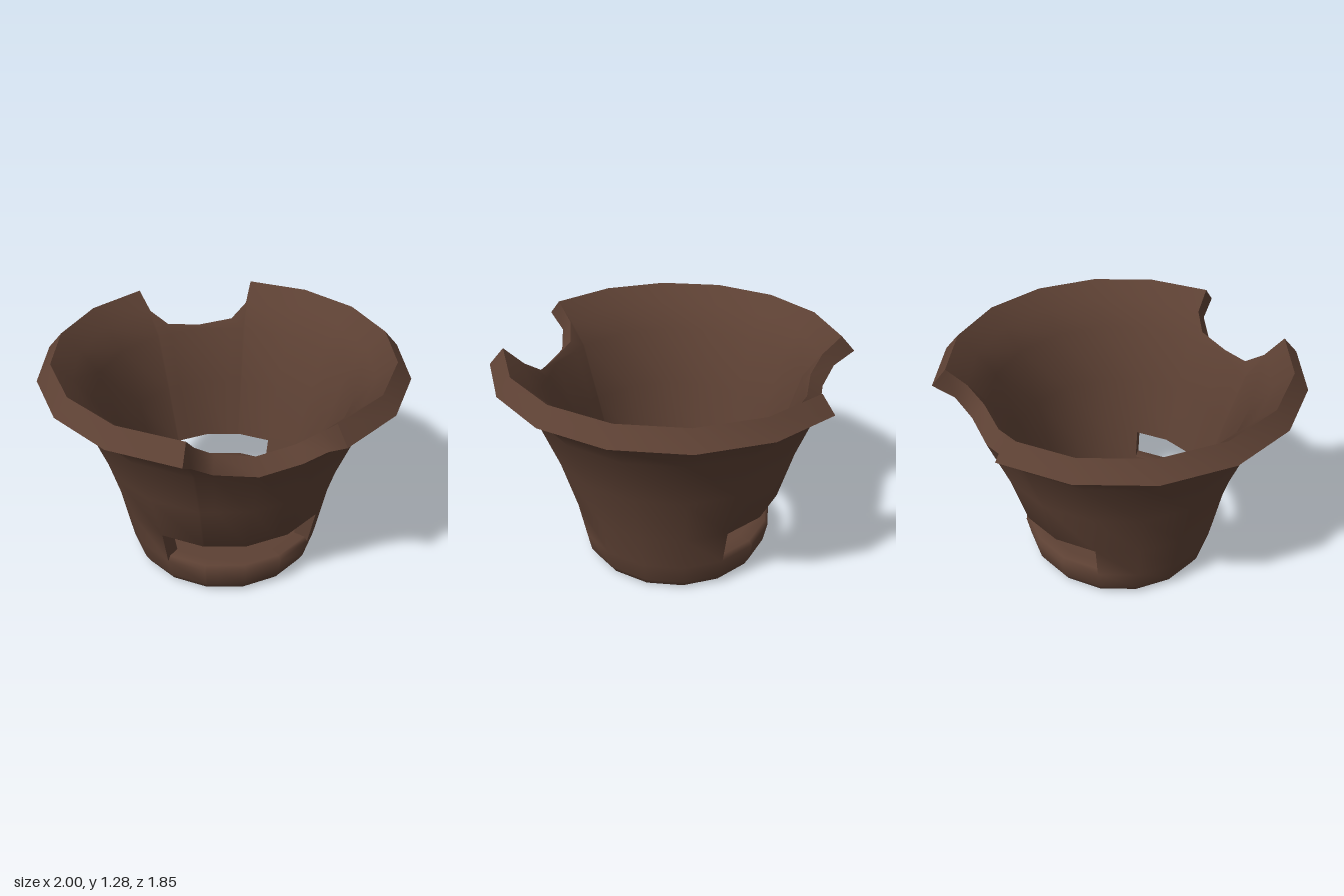
import * as THREE from 'three';
import { toCreasedNormals } from 'three/addons/utils/BufferGeometryUtils.js';

// Wall profiles as [radius, height]
const OUTER = [[0, 0], [0.46, 0], [0.53, 0.015], [0.555, 0.06], [0.578, 0.18], [0.618, 0.4],
  [0.7, 0.7], [0.81, 1.0], [0.9, 1.12], [1.0, 1.19]];
const INNER = [[0.92, 1.28], [0.82, 1.18], [0.72, 1.05], [0.62, 0.72], [0.525, 0.38],
  [0.49, 0.205], [0.47, 0.1], [0, 0.1]];
const SLOT_OUT = 4;                    // outer rows 4-5 bound the slot
const SLOT_IN = OUTER.length + 4;      // inner rows 4-5 bound the slot

// Rim notch: angle from its middle, outer and inner cut heights
const NOTCH = [[0, 1.0, 1.07], [15.6, 1.03, 1.1], [21.7, 1.11, 1.18]];

// Cut a profile off at a height, sliding the rows above it down onto the cut
function clip(profile, cut) {
  return profile.map(([r, y]) => {
    if (y <= cut) return [r, y];
    for (let i = 0; i < profile.length - 1; i++) {
      const [a, b] = [profile[i], profile[i + 1]];
      if (a[1] !== b[1] && (a[1] - cut) * (b[1] - cut) <= 0) {
        return [a[0] + (b[0] - a[0]) * (cut - a[1]) / (b[1] - a[1]), cut];
      }
    }
    return [r, y];
  });
}

// Place a profile point on the sixteen-sided plan
function place(deg, r, y) {
  const off = ((deg % 22.5) - 11.25) * Math.PI / 180;
  const R = r * Math.cos(Math.PI / 16) / Math.cos(off);
  const t = deg * Math.PI / 180;
  return new THREE.Vector3(R * Math.cos(t), y, R * Math.sin(t));
}

function bucketGeometry() {
  const pos = [];
  const tri = (a, b, c) => {
    if (a.distanceTo(b) < 1e-5 || b.distanceTo(c) < 1e-5 || a.distanceTo(c) < 1e-5) return;
    for (const p of [a, b, c]) pos.push(p.x, p.y, p.z);
  };
  const quad = (a, b, c, d) => { tri(a, b, c); tri(a, c, d); };

  // Columns: the sixteen corners plus the notch steps, front and back
  const angles = Array.from({ length: 16 }, (_, i) => i * 22.5);
  for (const mid of [90, 270]) {
    for (const [d] of NOTCH.slice(1)) angles.push(mid - d, mid + d);
  }
  angles.sort((a, b) => a - b);
  const fromMid = (deg) => Math.abs((deg % 180) - 90);

  const columns = angles.map((deg) => {
    const n = NOTCH.find(([d]) => Math.abs(fromMid(deg) - d) < 0.01);
    const rows = n ? [...clip(OUTER, n[1]), ...clip(INNER, n[2])] : [...OUTER, ...INNER];
    return rows.map(([r, y]) => place(deg, r, y));
  });

  // Wall, rim and floor, leaving the two slots open
  columns.forEach((col, i) => {
    const next = columns[(i + 1) % columns.length];
    const inSlot = angles[i] % 180 >= 45 && angles[i] % 180 < 135;
    for (let j = 0; j < col.length - 1; j++) {
      if (inSlot && (j === SLOT_OUT || j === SLOT_IN)) continue;
      quad(col[j], col[j + 1], next[j + 1], next[j]);
    }
  });

  // Slot linings: bevelled outer edge, then straight through the wall
  for (const start of [45, 225]) {
    const span = angles.filter((a) => a >= start && a <= start + 90);
    const section = (deg, low) => {
      const [o, n] = low ? [OUTER[4], INNER[5]] : [OUTER[5], INNER[4]];
      return [place(deg, o[0], o[1]), place(deg, o[0] - 0.02, n[1]), place(deg, n[0], n[1])];
    };
    const ring = [...span.map((a) => section(a, true)),
      ...span.slice().reverse().map((a) => section(a, false))];
    ring.forEach((s, i) => {
      const t = ring[(i + 1) % ring.length];
      for (let k = 0; k < 2; k++) quad(s[k], s[k + 1], t[k + 1], t[k]);
    });
  }

  const geo = new THREE.BufferGeometry();
  geo.setAttribute('position', new THREE.Float32BufferAttribute(pos, 3));
  return toCreasedNormals(geo, 1.0);
}

export function createModel() {
  const brown = new THREE.MeshStandardMaterial({ color: 0x5c4033 });
  brown.name = 'dark brown';
  const group = new THREE.Group();
  group.name = 'notchedPot';
  const body = new THREE.Mesh(bucketGeometry(), brown);
  body.name = 'potBody';
  group.add(body);
  return group;
}
